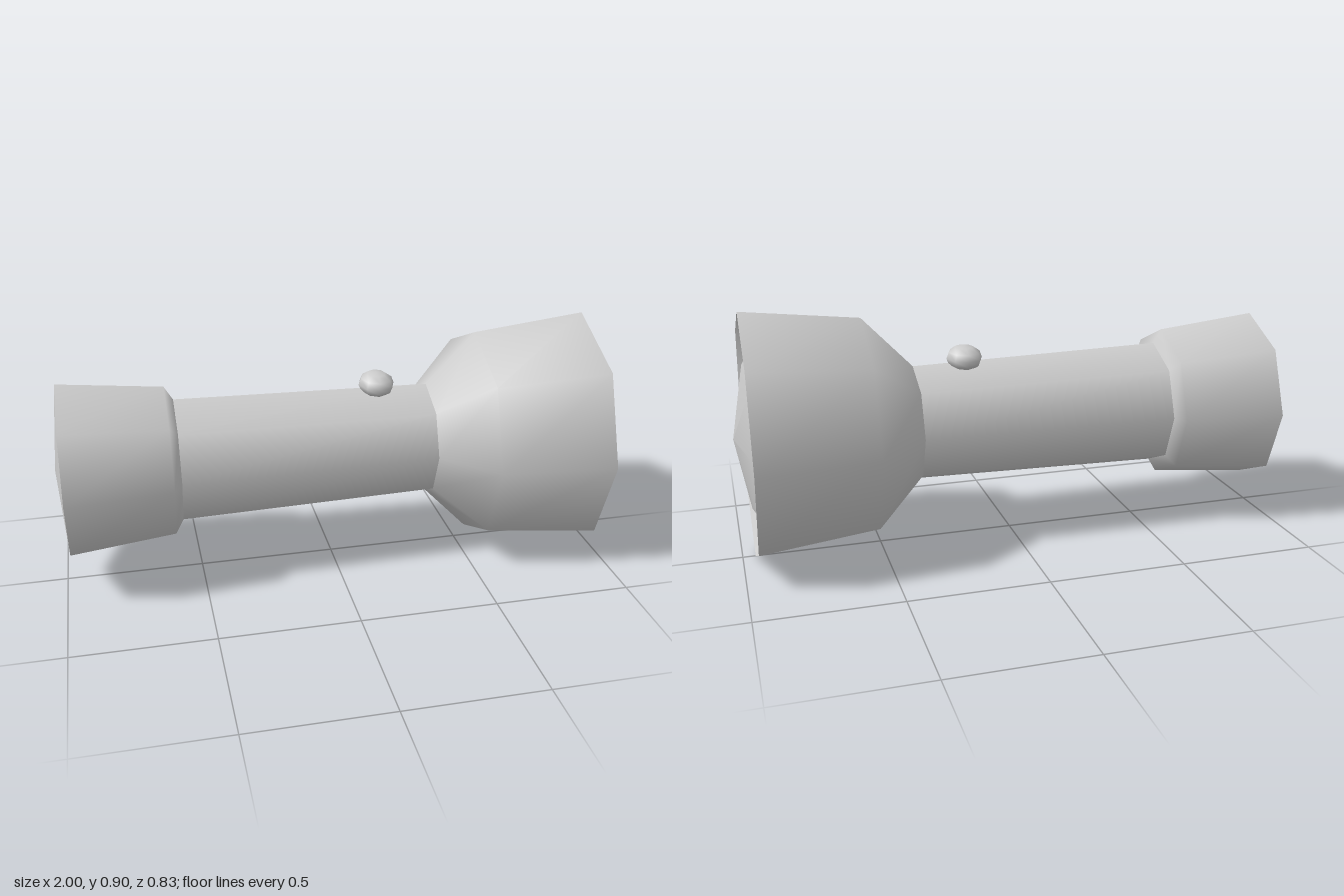
import * as THREE from 'three';

const CENTER_Y = 0.45;
const SIDES = 8;
const DEPTH = 0.926; // the barrel is slightly narrower in z than in y

export function createModel() {
  const group = new THREE.Group();
  const material = new THREE.MeshStandardMaterial({ color: 0xcccccc });

  // Eight-sided turned part along x; profile is a list of [x, radius]
  const turned = (name, profile) => {
    const points = profile.map(([x, r]) => new THREE.Vector2(r, x));
    const geometry = new THREE.LatheGeometry(points, SIDES);
    geometry.rotateZ(-Math.PI / 2);
    geometry.scale(1, 1, DEPTH);
    const mesh = new THREE.Mesh(geometry, material);
    mesh.name = name;
    mesh.position.y = CENTER_Y;
    group.add(mesh);
  };

  // Tail: shallow end cap and flared collar
  turned('tailCap', [[-1, 0], [-0.97, 0.325]]);
  turned('tailCollar', [[-0.97, 0.325], [-0.6, 0.285], [-0.57, 0.234]]);

  // Grip
  turned('handle', [[-0.57, 0.234], [0.36, 0.214]]);

  // Head: flared housing, sloped inner rim and recessed domed lens
  turned('head', [[0.36, 0.214], [0.54, 0.402], [0.955, 0.449]]);
  turned('innerRim', [[0.955, 0.449], [0.89, 0.378]]);
  turned('lens', [[0.89, 0.378], [0.953, 0.265], [1, 0]]);

  // Switch button on top of the handle
  const button = new THREE.Mesh(new THREE.SphereGeometry(1, 8, 6), material);
  button.name = 'switchButton';
  button.scale.set(0.066, 0.046, 0.078);
  button.position.set(0.17, 0.682, 0);
  group.add(button);

  return group;
}
